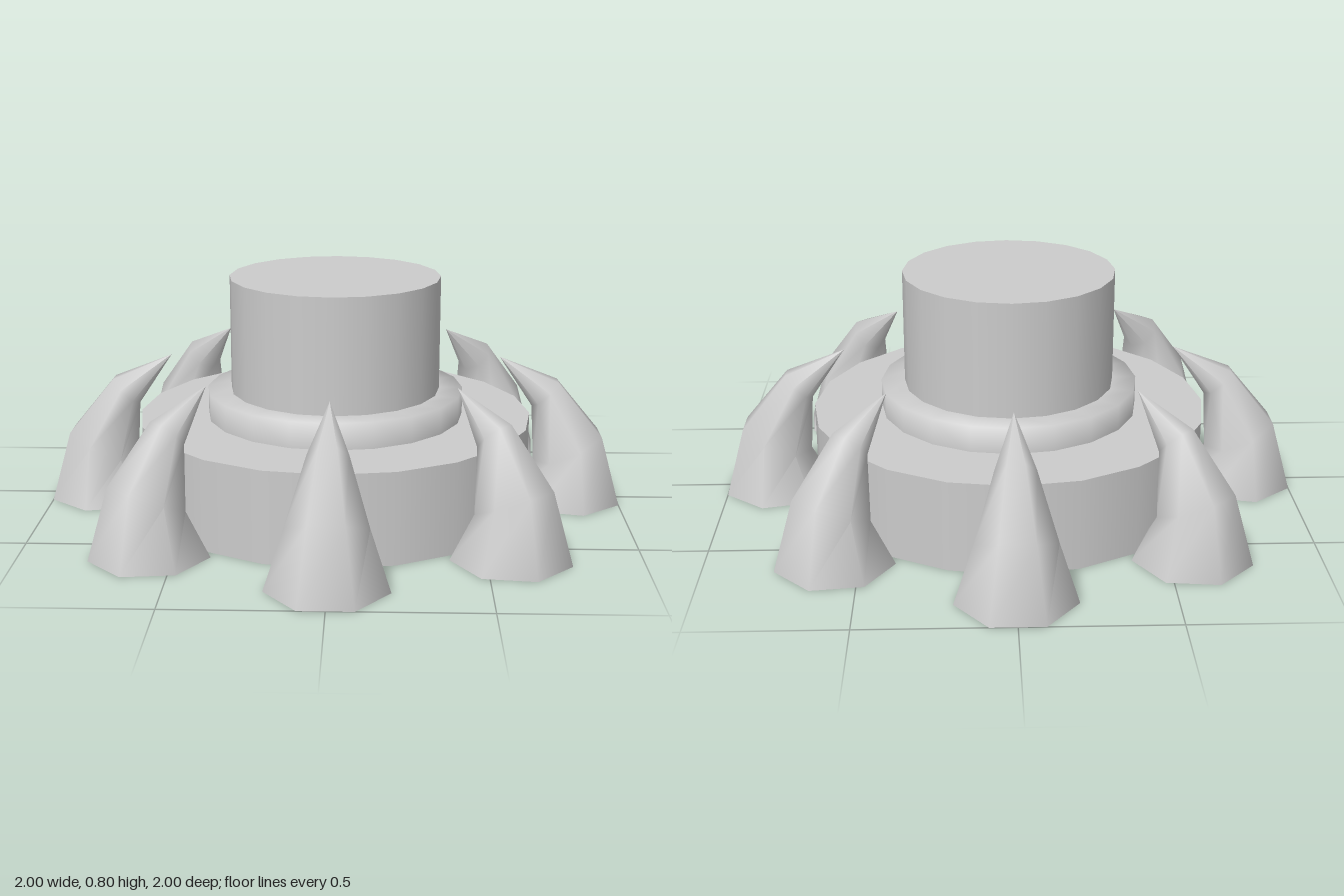
import * as THREE from 'three';
import { mergeVertices, toCreasedNormals } from 'three/addons/utils/BufferGeometryUtils.js';

const SIDES = 20;

// Seven-sided cone bent inward: each ring gets a centre (radius, height) and a tilt.
function clawGeometry() {
  const rings = [
    { r: 0.82, y: 0, tilt: 0 },
    { r: 0.826, y: 0.19, tilt: 0.42 },
    { r: 0.738, y: 0.387, tilt: 0.8 },
    { r: 0.575, y: 0.515, tilt: 1 },
  ];
  const cone = new THREE.ConeGeometry(0.2, 0.6, 7, 3);
  const p = cone.attributes.position;
  for (let i = 0; i < p.count; i++) {
    const { r, y, tilt } = rings[Math.round((p.getY(i) + 0.3) / 0.2)];
    const z = p.getZ(i);
    p.setXYZ(i, p.getX(i), y - z * Math.sin(tilt), -r + z * Math.cos(tilt));
  }
  cone.deleteAttribute('uv');
  cone.deleteAttribute('normal');
  return toCreasedNormals(mergeVertices(cone, 1e-4), 1.05);
}

export function createModel() {
  const model = new THREE.Group();
  const material = new THREE.MeshStandardMaterial({ color: 0xcccccc });
  const add = (name, geometry, y = 0) => {
    const mesh = new THREE.Mesh(geometry, material);
    mesh.name = name;
    mesh.position.y = y;
    model.add(mesh);
    return mesh;
  };

  // Wide base disc
  add('baseDisc', new THREE.CylinderGeometry(0.685, 0.685, 0.312, SIDES), 0.156);

  // Central post
  add('post', new THREE.CylinderGeometry(0.365, 0.365, 0.5, SIDES), 0.55);

  // Softly shaded collar around the foot of the post
  const collar = [[0.447, 0.3], [0.447, 0.403], [0.35, 0.403]];
  add('collar', new THREE.LatheGeometry(collar.map(([x, y]) => new THREE.Vector2(x, y)), SIDES));

  // Ring of eight inward-curving claws
  const claw = clawGeometry();
  for (let i = 0; i < 8; i++) {
    add('claw' + (i + 1), claw).rotation.y = (i * Math.PI) / 4;
  }
  return model;
}
